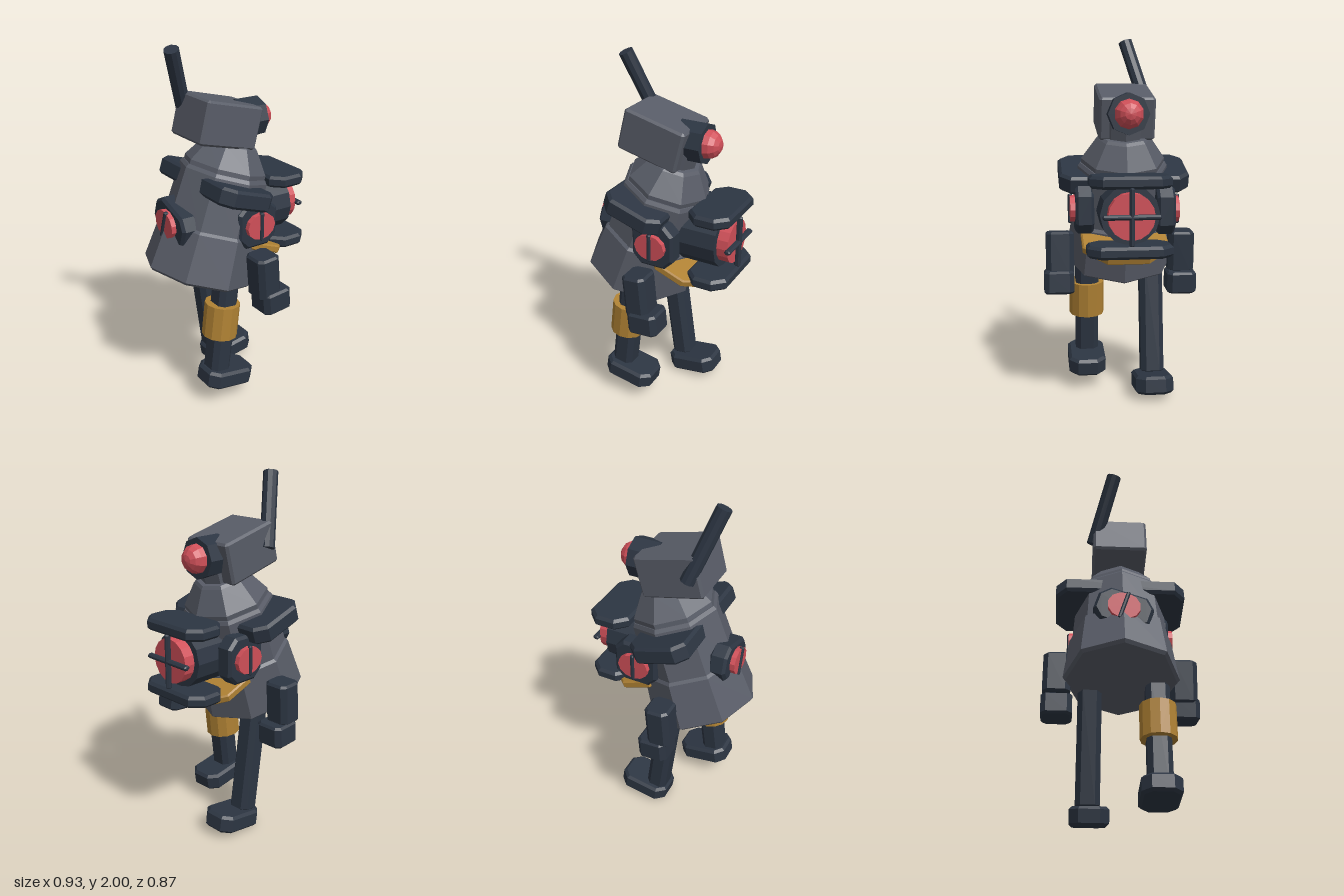
import * as THREE from 'three';

const mat = (name, color) => {
  const m = new THREE.MeshStandardMaterial({ color });
  m.name = name;
  return m;
};

// faceted normals for the low-poly look
function flat(geo) {
  const g = geo.index ? geo.toNonIndexed() : geo;
  g.computeVertexNormals();
  return g;
}

// box with cut plan corners (c) and beveled rims (b), centred on the origin
function slab(w, h, d, c = 0.02, b = 0.012) {
  const x = w / 2 - b, y = d / 2 - b;
  const s = new THREE.Shape([
    [-x + c, -y], [x - c, -y], [x, -y + c], [x, y - c],
    [x - c, y], [-x + c, y], [-x, y - c], [-x, -y + c],
  ].map(p => new THREE.Vector2(...p)));
  const g = new THREE.ExtrudeGeometry(s, {
    depth: h - 2 * b, bevelEnabled: true, bevelThickness: b, bevelSize: b, bevelSegments: 1,
  });
  g.translate(0, 0, -(h - 2 * b) / 2);
  g.rotateX(-Math.PI / 2);
  return flat(g);
}

const cyl = (r, len, n = 8) => flat(new THREE.CylinderGeometry(r, r, len, n));

export function createModel() {
  const root = new THREE.Group();
  const grey = mat('slate grey', 0x585c67);
  const dark = mat('dark steel', 0x2c3542);
  const red = mat('signal red', 0xcf4f58);
  const gold = mat('ochre', 0xb08234);

  const add = (parent, name, geo, material, pos, rotZ = 0) => {
    const m = new THREE.Mesh(geo, material);
    m.name = name;
    m.position.set(...pos);
    m.rotation.z = rotZ;
    parent.add(m);
    return m;
  };

  // cylinder stretched between two points
  const rod = (parent, name, a, b, r, material, n = 8) => {
    const A = new THREE.Vector3(...a), B = new THREE.Vector3(...b);
    const m = add(parent, name, cyl(r, A.distanceTo(B), n), material, [0, 0, 0]);
    m.position.copy(A).add(B).multiplyScalar(0.5);
    m.quaternion.setFromUnitVectors(new THREE.Vector3(0, 1, 0), B.sub(A).normalize());
    return m;
  };

  // leaning torso: skirt, chest and collar are octagonal lathes
  const LEAN = -0.315;
  const torso = new THREE.Group();
  torso.name = 'torso';
  torso.position.set(-0.172, 0.73, -0.01);
  torso.rotation.z = LEAN;
  root.add(torso);
  const rings = {
    skirt: [[0, 0], [0.295, 0], [0.312, 0.015], [0.282, 0.28], [0.268, 0.295], [0, 0.295]],
    chest: [[0, 0.28], [0.268, 0.28], [0.25, 0.59], [0.238, 0.61], [0, 0.61]],
    collar: [[0, 0.6], [0.232, 0.6], [0.232, 0.635], [0.15, 0.755], [0.135, 0.77], [0, 0.77]],
  };
  for (const [name, pts] of Object.entries(rings)) {
    const g = new THREE.LatheGeometry(pts.map(p => new THREE.Vector2(...p)), 8);
    add(torso, name, flat(g), grey, [0, 0, 0]);
  }
  rod(torso, 'neck', [0, 0.74, 0], [0, 0.86, 0], 0.11, grey);

  // shoulder plate running through the chest
  add(root, 'shoulderPlate', slab(0.345, 0.1, 0.72, 0.05, 0.015), dark, [-0.043, 1.24, -0.015], LEAN);

  // head with eye and antenna
  add(root, 'head', slab(0.36, 0.235, 0.305, 0.006, 0.012), grey, [-0.022, 1.59, -0.02], -0.245);
  rod(root, 'eyeSocket', [0.09, 1.577, -0.018], [0.243, 1.577, -0.018], 0.112, dark);
  const eye = add(root, 'eye', flat(new THREE.SphereGeometry(0.08, 10, 8)), red, [0.243, 1.577, -0.018]);
  eye.rotation.z = -Math.PI / 2;
  rod(root, 'antenna', [-0.27, 1.985, -0.06], [-0.13, 1.6, -0.17], 0.041, dark, 10);

  // chest lamp: drum, red lens, cross guard and two visors
  const lamp = new THREE.Group();
  lamp.name = 'chestLamp';
  lamp.position.set(0, 1.06, -0.008);
  root.add(lamp);
  rod(lamp, 'lampDrum', [0.15, 0, 0], [0.372, 0, 0], 0.158, dark, 12);
  rod(lamp, 'lampLens', [0.36, 0, 0], [0.435, 0, 0], 0.123, red, 16);
  for (const turn of [0, Math.PI / 2]) {
    const bar = add(lamp, 'lampGuard', slab(0.036, 0.3, 0.026, 0.006, 0.006), dark, [0.446, 0, 0]);
    bar.rotation.x = turn;
  }
  add(lamp, 'upperVisor', slab(0.24, 0.065, 0.43, 0.055, 0.015), dark, [0.337, 0.175, -0.002]);
  add(lamp, 'lowerVisor', slab(0.235, 0.065, 0.45, 0.055, 0.015), dark, [0.34, -0.185, 0]);

  // small ports: framed oval lens with an upright bar, facing local +z
  const port = (name, pos, rotY, w, h, lean = 0) => {
    const p = new THREE.Group();
    p.name = name;
    p.position.set(...pos);
    p.rotation.set(0, rotY, lean);
    root.add(p);
    const frame = add(p, 'portFrame', slab(w, 0.1, h, 0.045, 0.015), dark, [0, 0, -0.05]);
    frame.rotation.x = Math.PI / 2;
    const lens = add(p, 'portLens', cyl(0.085, 0.035, 12), red, [0, 0, 0.01]);
    lens.rotation.x = Math.PI / 2;
    lens.scale.set(1.05, 1, 0.88);
    add(p, 'portBar', slab(0.022, 0.16, 0.025, 0.004, 0.004), dark, [0, 0, 0.025]);
  };
  port('leftPort', [0.06, 1.06, 0.262], 0, 0.25, 0.26);
  port('rightPort', [0.13, 1.06, -0.272], Math.PI, 0.25, 0.26);
  port('backPort', [-0.348, 1.075, -0.008], -Math.PI / 2, 0.31, 0.2, LEAN);

  // tilted belt tray
  add(root, 'beltTray', slab(0.42, 0.045, 0.47, 0.12, 0.008), gold, [0.148, 0.885, -0.005], -0.36);

  // arms and hands
  add(root, 'leftArm', slab(0.14, 0.245, 0.155), dark, [0.035, 0.805, 0.345], 0.09);
  add(root, 'leftHand', slab(0.18, 0.125, 0.165), dark, [0.083, 0.656, 0.353], 0.09);
  add(root, 'rightArm', slab(0.14, 0.235, 0.15), dark, [-0.07, 0.79, -0.355], -0.06);
  add(root, 'rightHand', slab(0.17, 0.125, 0.168), dark, [-0.037, 0.618, -0.352], -0.06);

  // legs in mid-stride
  add(root, 'leftLeg', slab(0.125, 0.62, 0.13), dark, [-0.135, 0.46, 0.185], -0.12);
  rod(root, 'kneeBand', [-0.147, 0.415, 0.185], [-0.125, 0.61, 0.185], 0.1, gold, 12);
  add(root, 'leftFoot', slab(0.3, 0.1, 0.21, 0.04, 0.015), dark, [-0.112, 0.148, 0.19], -0.16);
  add(root, 'rightLeg', slab(0.12, 0.64, 0.13), dark, [0.005, 0.42, -0.175], 0.14);
  add(root, 'rightFoot', slab(0.295, 0.1, 0.21, 0.04, 0.015), dark, [0.13, 0.072, -0.165], 0.16);

  return root;
}
